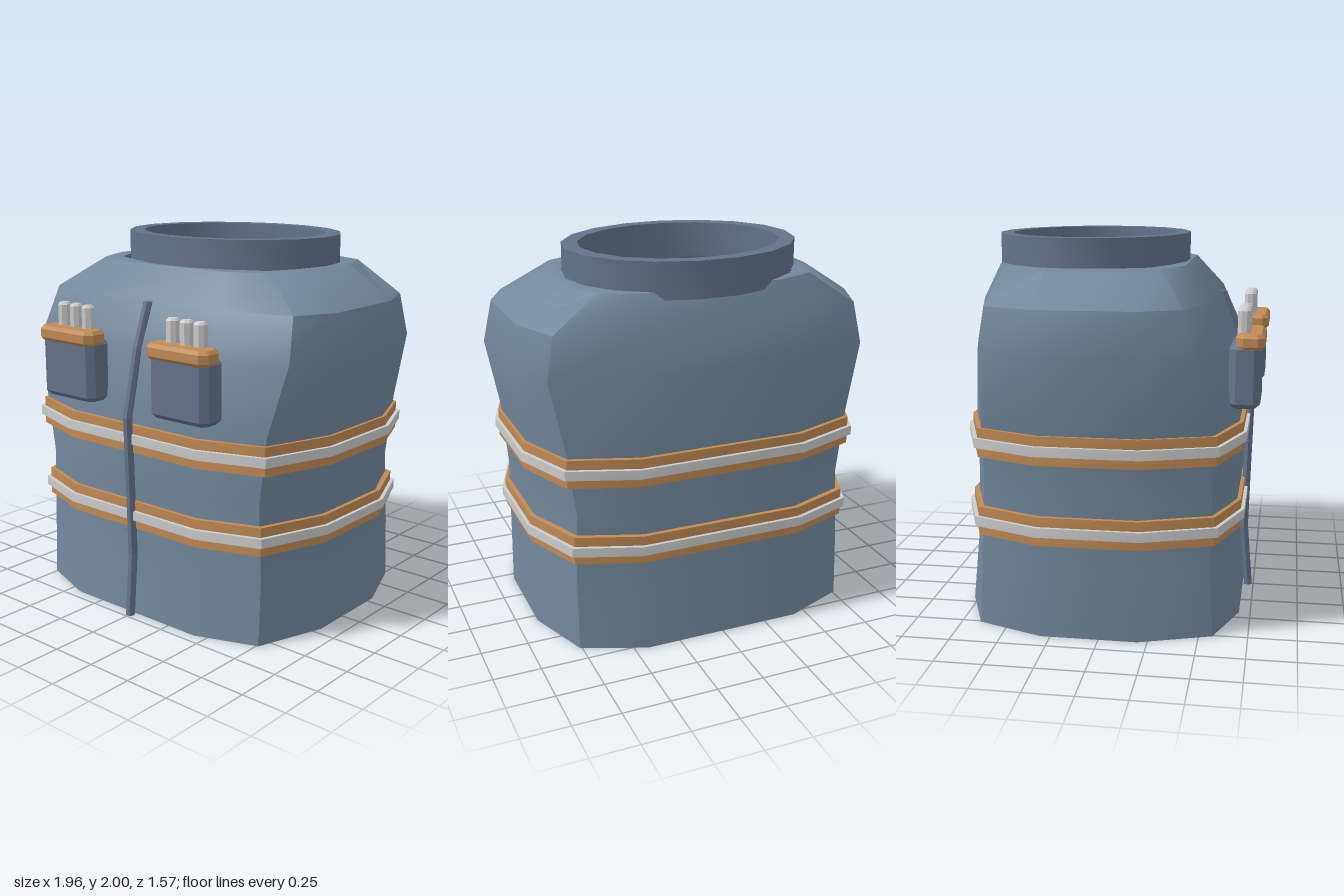
import * as THREE from 'three';
import { toCreasedNormals } from 'three/addons/utils/BufferGeometryUtils.js';

const CREASE = THREE.MathUtils.degToRad(35);
const paint = (color, flatShading = false) => new THREE.MeshStandardMaterial({ color, flatShading });

// Vertical sections of the torso:
// [y, front half width, corner x, side x, front z, front corner z, side front z, side back z, back corner z, back z]
const SECTIONS = [
  [0, 0.43, 0.76, 0.89, 0.69, 0.57, 0.2, -0.3, -0.65, -0.78],
  [0.35, 0.43, 0.76, 0.885, 0.66, 0.555, 0.2, -0.3, -0.63, -0.745],
  [0.75, 0.43, 0.745, 0.88, 0.67, 0.555, 0.2, -0.3, -0.615, -0.73],
  [1.1, 0.44, 0.79, 0.91, 0.67, 0.56, 0.2, -0.3, -0.61, -0.73],
  [1.46, 0.45, 0.865, 0.98, 0.62, 0.49, 0.2, -0.3, -0.595, -0.71],
  [1.68, 0.44, 0.825, 0.93, 0.52, 0.41, 0.2, -0.3, -0.57, -0.67],
  [1.85, 0.37, 0.58, 0.67, 0.37, 0.27, 0.06, -0.3, -0.52, -0.6],
];

// Twelve-sided outline of the torso at a height, grown outwards by an offset
function outline(y, grow = 0) {
  let i = 0;
  while (i < SECTIONS.length - 2 && y > SECTIONS[i + 1][0]) i++;
  const [a, b] = [SECTIONS[i], SECTIONS[i + 1]];
  const t = (y - a[0]) / (b[0] - a[0]);
  const [, f, c, w, zf, zcf, zsf, zsb, zcb, zb] = a.map((v, k) => v + (b[k] - v) * t);
  const half = [[f, zf], [c, zcf], [w, zsf], [w, zsb], [c, zcb], [f, zb]];
  const mid = (zf + zb) / 2, depth = (zf - zb) / 2;
  const kx = 1 + grow / w, kz = 1 + grow / depth;
  const right = half.map(([x, z]) => [x * kx, y, mid + (z - mid) * kz]);
  return [...right, ...right.map(([x, h, z]) => [-x, h, z]).reverse()];
}

// Skin over a list of equal rings
function loft(rings, closed = false) {
  const n = rings[0].length, index = [];
  const spans = closed ? rings.length : rings.length - 1;
  for (let i = 0; i < spans; i++) {
    const lo = i * n, hi = ((i + 1) % rings.length) * n;
    for (let j = 0; j < n; j++) {
      const k = (j + 1) % n;
      index.push(lo + j, lo + k, hi + k, lo + j, hi + k, hi + j);
    }
  }
  const g = new THREE.BufferGeometry();
  g.setAttribute('position', new THREE.Float32BufferAttribute(rings.flat(2), 3));
  g.setIndex(index);
  return toCreasedNormals(g, CREASE);
}

// Upright box with cut corners and bevelled ends
function chamferBox(w, h, d, cut, bevel) {
  const x = w / 2 - bevel, z = d / 2 - bevel;
  const s = new THREE.Shape([
    [x - cut, -z], [x, -z + cut], [x, z - cut], [x - cut, z],
    [-x + cut, z], [-x, z - cut], [-x, -z + cut], [-x + cut, -z],
  ].map(p => new THREE.Vector2(...p)));
  return new THREE.ExtrudeGeometry(s, {
    depth: h - 2 * bevel, bevelEnabled: true, bevelSegments: 1, bevelSize: bevel, bevelThickness: bevel,
  }).translate(0, 0, bevel - h / 2).rotateX(-Math.PI / 2);
}

export function createModel() {
  const model = new THREE.Group();
  model.name = 'armouredVest';
  const cloth = paint(0x73889c), dark = paint(0x65738a), darkFlat = paint(0x65738a, true);
  const tan = paint(0xc08a55), tanFlat = paint(0xc08a55, true);
  const grey = paint(0xcccccc), greyFlat = paint(0xcccccc, true);
  const add = (parent, name, geometry, material, x = 0, y = 0, z = 0) => {
    const mesh = new THREE.Mesh(geometry, material);
    mesh.name = name;
    mesh.position.set(x, y, z);
    parent.add(mesh);
    return mesh;
  };

  // Thick torso shell, open at the waist and neck
  const heights = SECTIONS.map(s => s[0]);
  const outer = heights.map(y => outline(y));
  const inner = heights.map(y => outline(y, -0.08)).reverse();
  add(model, 'torsoShell', loft([...outer, ...inner], true), cloth);

  // Oval neck collar
  const profile = [[1, 1.81], [1, 2], [0.865, 2], [0.865, 1.81], [1, 1.81]].map(p => new THREE.Vector2(...p));
  const collar = new THREE.LatheGeometry(profile, 18, Math.PI / 2).scale(0.625, 1, 0.517);
  add(model, 'neckCollar', toCreasedNormals(collar, CREASE), dark, 0, 0, -0.155);

  // Two belts, each a raised strip between two lower ones
  for (const [name, y] of [['upperBelt', 0.985], ['lowerBelt', 0.565]]) {
    const belt = new THREE.Group();
    belt.name = name;
    model.add(belt);
    const strips = [
      ['bottomStrip', -0.075, -0.025, 0.022, tan],
      ['middleStrip', -0.025, 0.025, 0.04, grey],
      ['topStrip', 0.025, 0.075, 0.022, tan],
    ];
    for (const [part, y0, y1, grow, material] of strips) {
      const ring = (h, g) => outline(y, g).map(([x, , z]) => [x, y + h, z]);
      const rings = [ring(y0, grow), ring(y1, grow), ring(y1, -0.03), ring(y0, -0.03)];
      add(belt, part, loft(rings, true), material);
    }
  }

  // Front closure rod following the chest
  const path = [[0, 0.72], [0.35, 0.69], [0.75, 0.7], [1.1, 0.71], [1.46, 0.625], [1.685, 0.545]];
  const hex = (y, z, r) => Array.from({ length: 6 }, (_, i) => {
    const a = (i + 0.5) * Math.PI / 3;
    return [r * Math.sin(a), y, z + r * Math.cos(a)];
  });
  const rod = [
    hex(...path[0], 0),
    ...path.map(p => hex(...p, 0.025)),
    hex(...path[path.length - 1], 0),
  ];
  add(model, 'frontRod', loft(rod), darkFlat);

  // Chest pouches, each with a rim and three capped canisters
  for (const side of [1, -1]) {
    const pouch = new THREE.Group();
    pouch.name = side > 0 ? 'leftPouch' : 'rightPouch';
    pouch.position.x = side * 0.39;
    model.add(pouch);
    add(pouch, 'pouchBody', chamferBox(0.38, 0.33, 0.16, 0.02, 0.025), darkFlat, 0, 1.315, 0.695);
    add(pouch, 'pouchRim', chamferBox(0.4, 0.08, 0.145, 0.025, 0.018), tanFlat, 0, 1.49, 0.72);
    for (const x of [-0.09, 0, 0.09]) {
      const can = new THREE.CylinderGeometry(0.036, 0.036, 0.13, 8).rotateY(Math.PI / 8);
      const cap = new THREE.CylinderGeometry(0.024, 0.036, 0.012, 8).rotateY(Math.PI / 8);
      add(pouch, 'canister', can, greyFlat, x, 1.575, 0.685);
      add(pouch, 'canisterCap', cap, greyFlat, x, 1.646, 0.685);
    }
  }
  return model;
}
